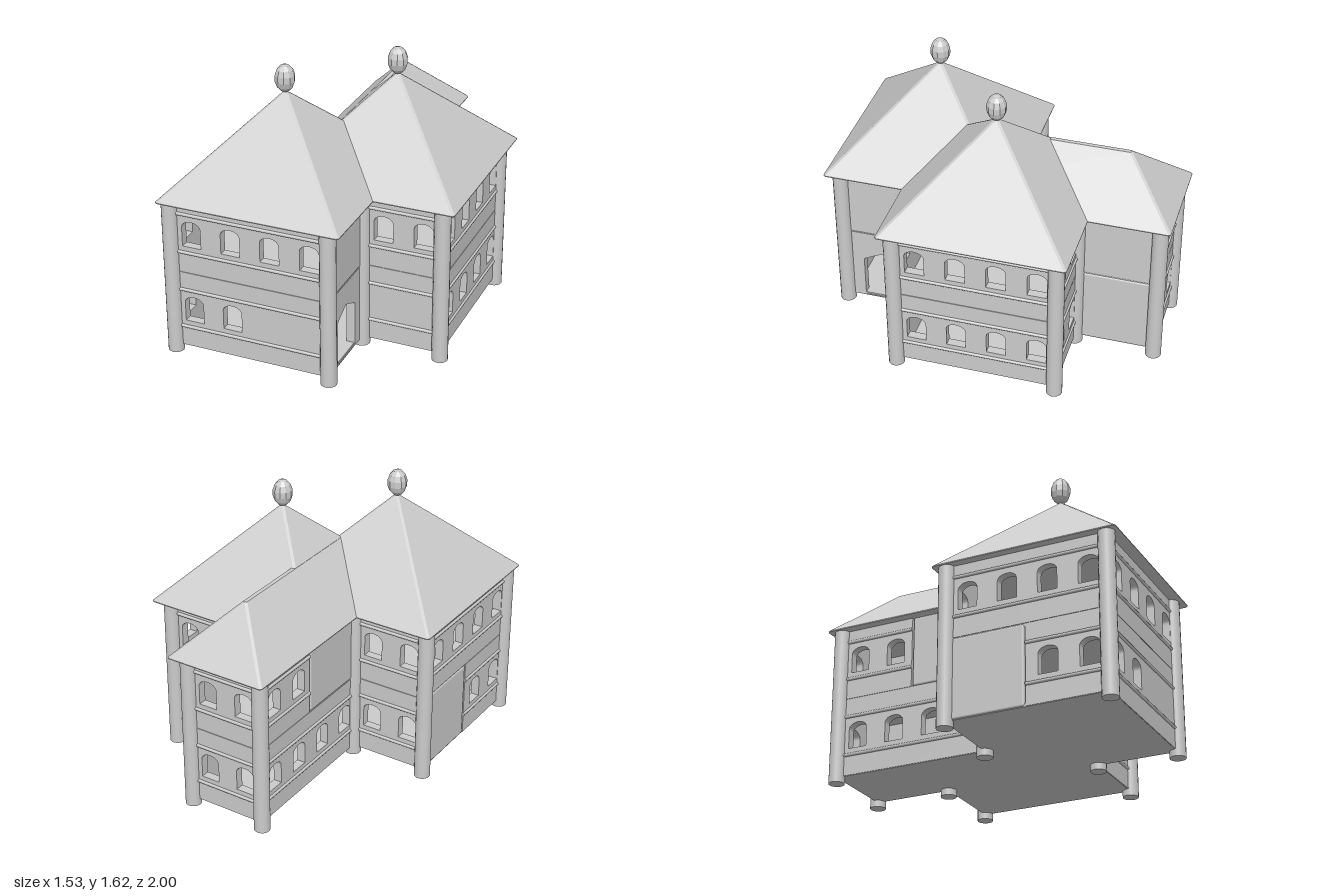
import * as THREE from 'three';
import { RoundedBoxGeometry } from 'three/addons/geometries/RoundedBoxGeometry.js';

const M = 0.465;          // wall module (column spacing)
const T = 0.05;           // wall thickness
const FACE = 0.004;       // outer wall face, measured outwards from the column axes
const EAVE = 0.93;
const smooth = new THREE.MeshStandardMaterial({ color: 0xcccccc });
const flat = new THREE.MeshStandardMaterial({ color: 0xcccccc, flatShading: true });

// Building outline on column axes, walked so that the outside lies on the wall's local +z
const X = [-0.716, -0.251, 0.213, 0.678], Z = [0.93, 0.465, 0, -0.465, -0.93];
const outline = [[0, 0], [2, 0], [2, 1], [3, 1], [3, 3], [2, 3], [2, 4], [1, 4], [1, 2], [0, 2]]
  .map(([i, j]) => [X[i], Z[j]]);

// Bays per side, lower then upper storey: W windows, B banded solid, P plain panel, D doorway
const bays = [['WB', 'WW'], ['D', 'P'], ['B', 'W'], ['WW', 'WW'], ['W', 'W'],
  ['P', 'P'], ['W', 'W'], ['WW', 'WP'], ['W', 'W'], ['PW', 'WW']];

function add(parent, name, geometry, x = 0, y = 0, z = 0, material = smooth) {
  const mesh = new THREE.Mesh(geometry, material);
  mesh.name = name;
  mesh.position.set(x, y, z);
  parent.add(mesh);
  return mesh;
}

// Window opening with a shallow arched head
function windowHole(cx) {
  const w = 0.056, y = 0.16, spring = 0.275;
  const p = new THREE.Path();
  p.moveTo(cx - w, y);
  p.lineTo(cx + w, y);
  p.lineTo(cx + w, spring);
  p.absellipse(cx, spring, w, 0.038, 0, Math.PI, false);
  p.lineTo(cx - w, y);
  return p;
}

// Doorway with a low pointed head
function doorHole() {
  return new THREE.Path([[-0.118, 0.008], [0.118, 0.008], [0.118, 0.272], [0.05, 0.308], [0, 0.328],
    [-0.05, 0.308], [-0.118, 0.272]].map(([x, y]) => new THREE.Vector2(x, y)));
}

function bay(type, h) {
  const g = new THREE.Group();
  if (type === 'P') {
    g.name = 'plainPanel';
    add(g, 'panel', new RoundedBoxGeometry(0.45, h, T + 0.005, 2, 0.012), 0, h / 2, FACE - T / 2);
    return g;
  }
  g.name = { W: 'windowWall', B: 'solidWall', D: 'doorWall' }[type];
  const s = new THREE.Shape();
  s.moveTo(-M / 2, 0);
  s.lineTo(M / 2, 0);
  s.lineTo(M / 2, h);
  s.lineTo(-M / 2, h);
  s.closePath();
  if (type === 'W') for (const k of [-1, 1]) s.holes.push(windowHole(k * M / 4 + 0.011));
  if (type === 'D') s.holes.push(doorHole());
  const wall = new THREE.ExtrudeGeometry(s, { depth: T, bevelEnabled: false, curveSegments: 6 });
  add(g, 'wall', wall, 0, 0, FACE - T);
  // Half-round string courses
  if (type !== 'D') for (const y of [0.122, 0.354]) {
    const rod = add(g, 'band', new THREE.CylinderGeometry(0.01, 0.01, M, 8), 0, y, FACE);
    rod.rotation.z = Math.PI / 2;
  }
  return g;
}

// Hipped roof with 45 degree slopes and narrow chamfers along hips and ridge
function hipRoof(x0, x1, z0, z1) {
  const c = 0.012, inset = (x1 - x0) / 2 - c, e = EAVE + 0.005;
  const ring = (y, d) => {
    const a = x0 + d, b = x1 - d, f = z0 + d, k = z1 - d;
    return [[a, y, f + c], [a, y, k - c], [a + c, y, k], [b - c, y, k],
      [b, y, k - c], [b, y, f + c], [b - c, y, f], [a + c, y, f]];
  };
  const rings = [ring(EAVE, 0), ring(e, 0), ring(e + inset, inset)];
  const pos = [];
  const tri = (...p) => p.forEach(v => pos.push(...v));
  for (let r = 0; r < 2; r++) for (let i = 0; i < 8; i++) {
    const j = (i + 1) % 8, lo = rings[r], hi = rings[r + 1];
    tri(lo[i], lo[j], hi[j]);
    tri(lo[i], hi[j], hi[i]);
  }
  // Soffit and small flat top
  for (let i = 1; i < 7; i++) {
    tri(rings[0][0], rings[0][i + 1], rings[0][i]);
    tri(rings[2][0], rings[2][i], rings[2][i + 1]);
  }
  const geo = new THREE.BufferGeometry();
  geo.setAttribute('position', new THREE.Float32BufferAttribute(pos, 3));
  geo.computeVertexNormals();
  return geo;
}

export function createModel() {
  const model = new THREE.Group();
  model.name = 'house';

  // Floor slabs follow the outline
  const plan = new THREE.Shape(outline.map(([x, z]) => new THREE.Vector2(x, -z)));
  const slab = new THREE.ExtrudeGeometry(plan, { depth: 0.02, bevelEnabled: false });
  slab.rotateX(-Math.PI / 2);
  add(model, 'groundFloor', slab, 0, 0.038, 0);
  add(model, 'upperFloor', slab, 0, 0.488, 0);

  // Walls, bay by bay, and a column on every corner
  const storeys = [{ y: 0.04, h: 0.462 }, { y: 0.506, h: EAVE - 0.506 }];
  const columnGeo = new THREE.CylinderGeometry(0.046, 0.046, EAVE, 16);
  outline.forEach(([x, z], i) => {
    add(model, 'column', columnGeo, x, EAVE / 2, z);
    const [nx, nz] = outline[(i + 1) % outline.length];
    storeys.forEach(({ y, h }, s) => {
      const codes = bays[i][s];
      [...codes].forEach((code, k) => {
        const t = (k + 0.5) / codes.length;
        const b = bay(code, h);
        b.position.set(x + (nx - x) * t, y, z + (nz - z) * t);
        b.rotation.y = Math.atan2(z - nz, nx - x);
        model.add(b);
      });
    });
  });

  // Roofs: two pyramids and the hipped back wing, which runs into both
  add(model, 'frontRoof', hipRoof(-0.768, 0.302, -0.072, 1), 0, 0, 0, flat);
  add(model, 'sideRoof', hipRoof(-0.306, 0.764, -0.538, 0.532), 0, 0, 0, flat);
  add(model, 'backRoof', hipRoof(-0.308, 0.302, -1, 0.52), 0, 0, 0, flat);

  // Faceted egg-shaped finials
  const egg = new THREE.SphereGeometry(1, 10, 7).scale(0.057, 0.079, 0.057);
  add(model, 'finial', egg, -0.236, 1.536, 0.4625, flat);
  add(model, 'finial', egg, 0.227, 1.536, -0.003, flat);
  return model;
}
